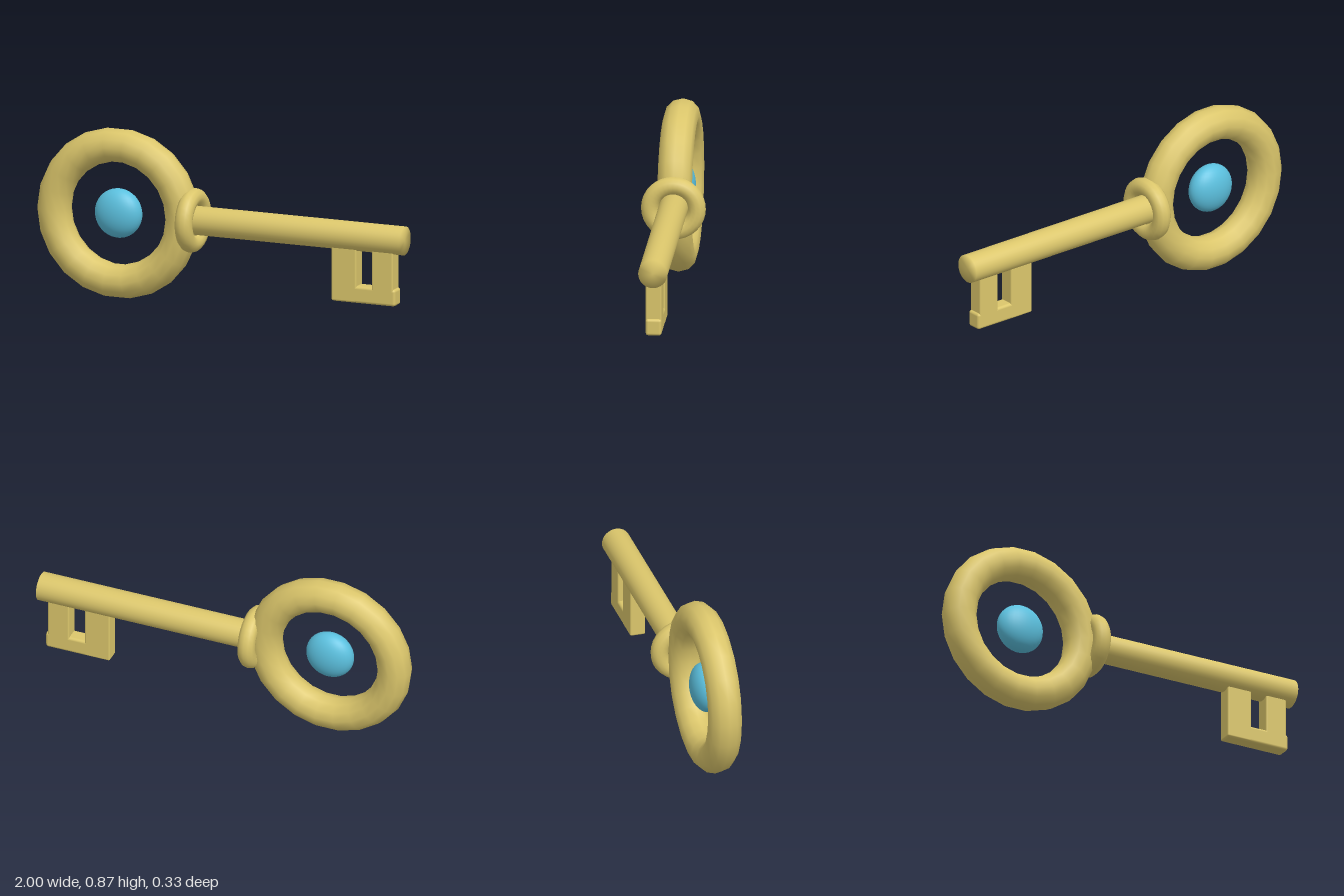
import * as THREE from 'three';
import { RoundedBoxGeometry } from 'three/addons/geometries/RoundedBoxGeometry.js';

export function createModel() {
  const key = new THREE.Group();
  key.name = 'key';
  const gold = new THREE.MeshStandardMaterial({ name: 'gold', color: 0xdbc66b });
  const blue = new THREE.MeshStandardMaterial({ name: 'gemBlue', color: 0x5bc0de });
  const axisY = 0.435, bowX = -0.563;

  function add(name, geometry, material, x, y) {
    const mesh = new THREE.Mesh(geometry, material);
    mesh.name = name;
    mesh.position.set(x, y, 0);
    key.add(mesh);
    return mesh;
  }

  // Bow: large ring facing the front, with a flattened gem floating inside
  add('bow', new THREE.TorusGeometry(0.35, 0.087, 12, 22), gold, bowX, axisY);
  add('gem', new THREE.SphereGeometry(0.126, 32, 20), blue, bowX, axisY).scale.z = 0.6;

  // Collar: small ring around the shaft
  add('collar', new THREE.TorusGeometry(0.118, 0.045, 12, 32), gold, -0.157, axisY).rotation.y = Math.PI / 2;

  // Shaft: closed lathe with softly shaded ends
  const profile = [[0, 0], [0.073, 0], [0.073, 1.16], [0, 1.16]].map(([r, h]) => new THREE.Vector2(r, h));
  add('shaft', new THREE.LatheGeometry(profile, 32), gold, -0.16, axisY + 0.002).rotation.z = -Math.PI / 2;

  // Bit: two teeth joined by a bar, each given as x0, x1, y0, y1, corner radius
  const bit = [
    ['innerTooth', 0.615, 0.75, 0.105, 0.4, 0.008],
    ['outerTooth', 0.835, 0.95, 0.14, 0.4, 0.008],
    ['bitBar', 0.615, 0.962, 0.102, 0.188, 0.014],
  ];
  for (const [name, x0, x1, y0, y1, r] of bit) {
    add(name, new RoundedBoxGeometry(x1 - x0, y1 - y0, 0.08, 3, r), gold, (x0 + x1) / 2, (y0 + y1) / 2);
  }
  return key;
}
